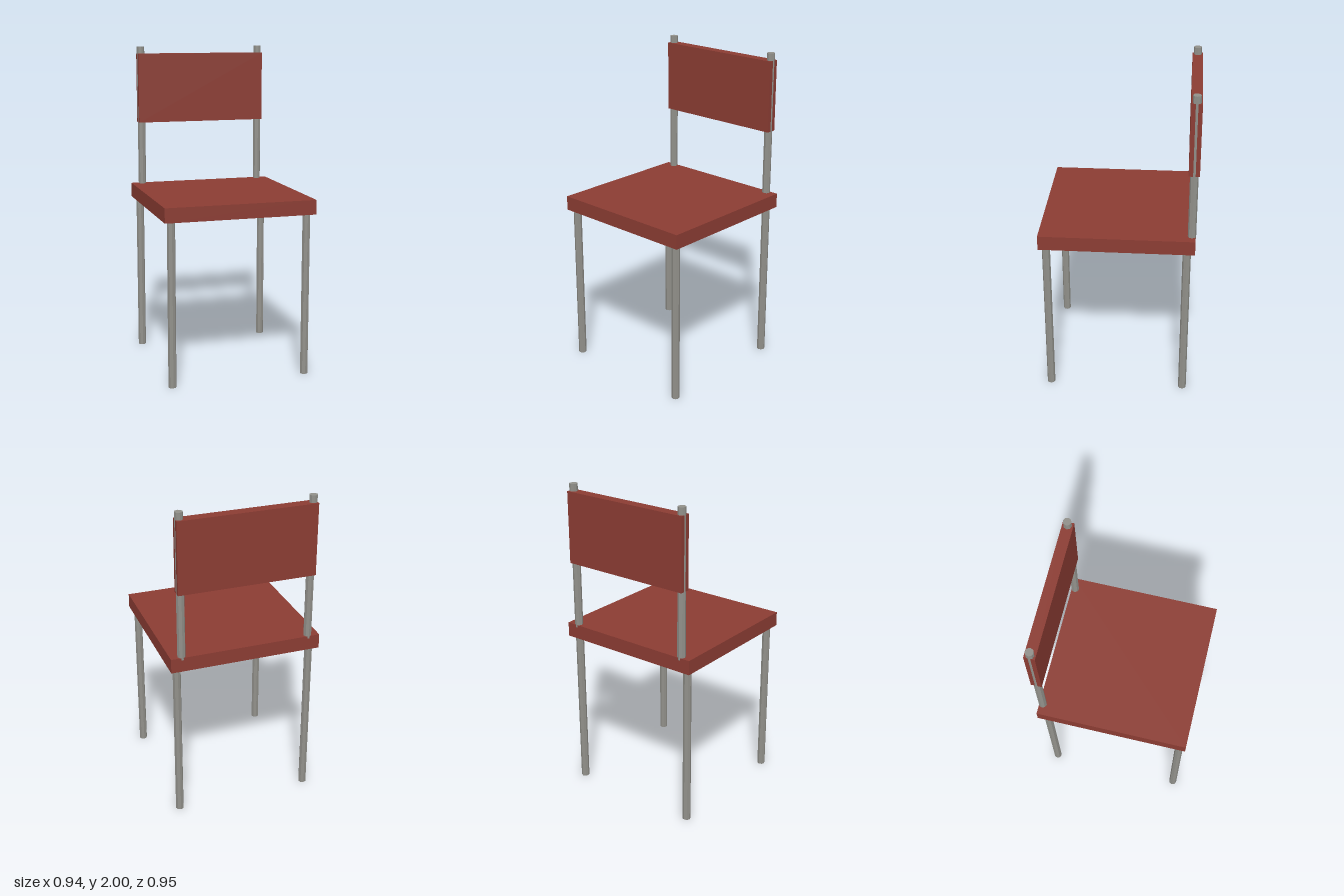
import * as THREE from 'three';

export function createModel() {
  const chair = new THREE.Group();
  chair.name = 'chair';

  const red = new THREE.MeshStandardMaterial({ color: 0x8b3c33, flatShading: true });
  const metal = new THREE.MeshStandardMaterial({ color: 0x91908a, flatShading: true });

  // Box given by its extents on each axis
  function panel(name, [x0, x1], [y0, y1], [z0, z1]) {
    const mesh = new THREE.Mesh(new THREE.BoxGeometry(x1 - x0, y1 - y0, z1 - z0), red);
    mesh.position.set((x0 + x1) / 2, (y0 + y1) / 2, (z0 + z1) / 2);
    mesh.name = name;
    chair.add(mesh);
  }

  // Upright eight-sided tube
  function rod(name, x, z, y0, y1) {
    const mesh = new THREE.Mesh(new THREE.CylinderGeometry(0.025, 0.025, y1 - y0, 8), metal);
    mesh.position.set(x, (y0 + y1) / 2, z);
    mesh.name = name;
    chair.add(mesh);
  }

  panel('seat', [-0.47, 0.47], [1.015, 1.105], [-0.465, 0.473]);
  panel('backrest', [-0.422, 0.422], [1.51, 1.955], [-0.475, -0.41]);

  // Legs and back posts, mirrored left and right
  for (const [side, s] of [['left', 1], ['right', -1]]) {
    rod(side + 'FrontLeg', s * 0.423, 0.43, 0, 1.03);
    rod(side + 'BackLeg', s * 0.423, -0.416, 0, 1.03);
    rod(side + 'BackPost', s * 0.4, -0.443, 1.09, 2);
  }

  return chair;
}
